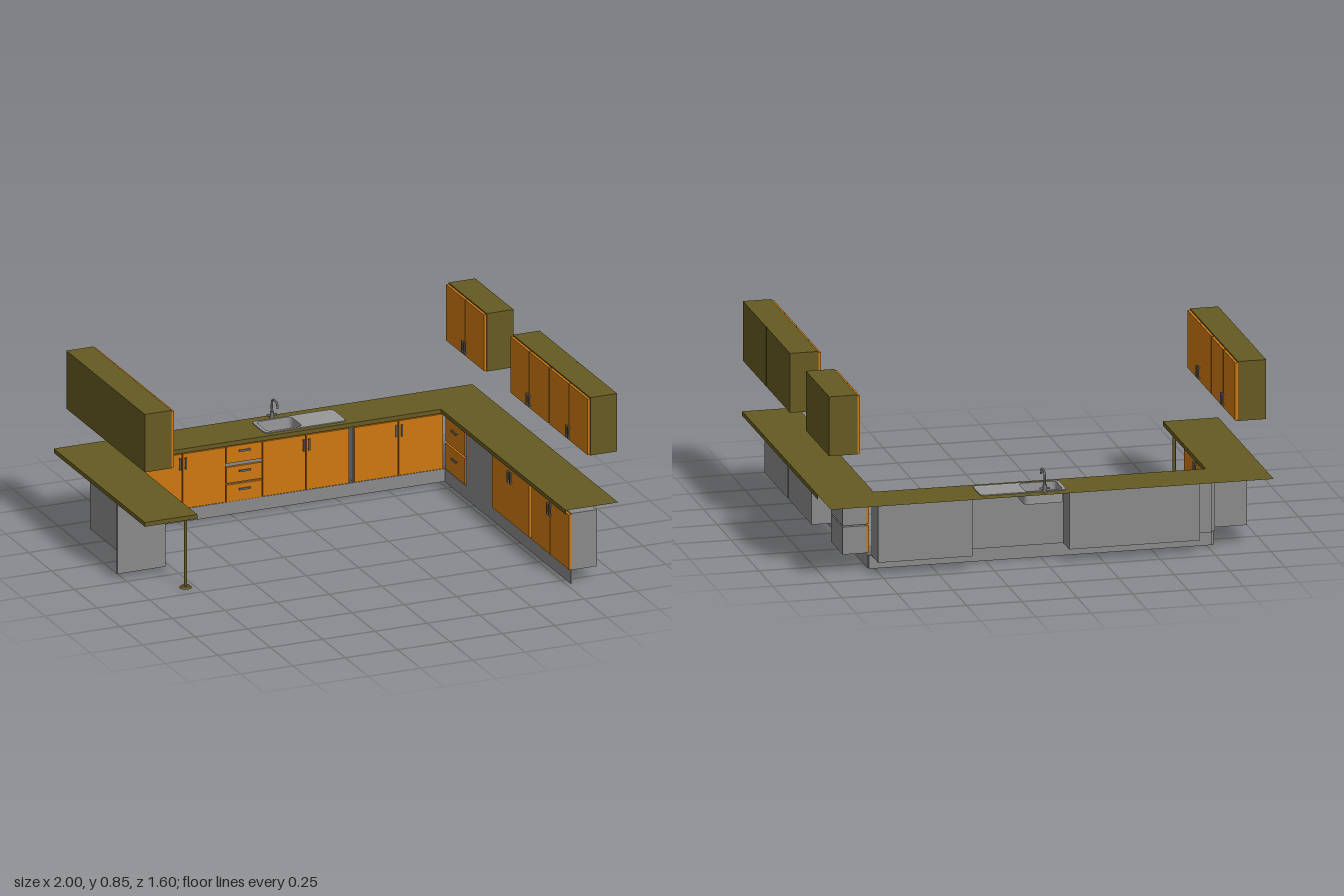
import * as THREE from 'three';

const mat = (name, color, side = THREE.FrontSide) => {
  const m = new THREE.MeshStandardMaterial({ color, side });
  m.name = name;
  return m;
};

export function createModel() {
  const olive = mat('olive', 0x655a22);
  const orange = mat('orange', 0xcd7710);
  const grey = mat('cabinet grey', 0x8a8a8a);
  const steel = mat('sink steel', 0x989898);
  const metal = mat('handle metal', 0x707070);

  const model = new THREE.Group();
  model.name = 'kitchen';

  const add = (parent, name, geo, material) => {
    const m = new THREE.Mesh(geo, material);
    m.name = name;
    parent.add(m);
    return m;
  };
  // Box given by its limits on each axis
  const box = (parent, name, material, x0, x1, y0, y1, z0, z1) => {
    const m = add(parent, name, new THREE.BoxGeometry(x1 - x0, y1 - y0, z1 - z0), material);
    m.position.set((x0 + x1) / 2, (y0 + y1) / 2, (z0 + z1) / 2);
    return m;
  };
  // A run of cabinets: local x goes along it, local +z is its front
  const run = (name, x, z, angle) => {
    const g = new THREE.Group();
    g.name = name;
    g.position.set(x, 0, z);
    g.rotation.y = angle;
    model.add(g);
    return g;
  };
  // Carcass with a pair of doors and upright handles beside the split
  const doorUnit = (r, u0, u1, y0, y1, depth, handleY, carcass) => {
    box(r, 'carcass', carcass, u0, u1, y0, y1 + 0.003, -depth, -0.012);
    const mid = (u0 + u1) / 2;
    box(r, 'door', orange, u0 + 0.002, mid - 0.002, y0 + 0.003, y1 - 0.003, -0.012, 0);
    box(r, 'door', orange, mid + 0.002, u1 - 0.002, y0 + 0.003, y1 - 0.003, -0.012, 0);
    for (const s of [-1, 1]) {
      const u = mid + s * 0.013;
      box(r, 'handle', metal, u - 0.004, u + 0.004, handleY - 0.027, handleY + 0.027, 0.006, 0.011);
      for (const e of [-0.022, 0.022])
        box(r, 'handlePost', metal, u - 0.003, u + 0.003, handleY + e - 0.003, handleY + e + 0.003, 0, 0.007);
    }
  };
  const drawer = (r, u0, u1, y0, y1) => {
    box(r, 'drawerFront', orange, u0 + 0.002, u1 - 0.002, y0 + 0.002, y1 - 0.002, -0.012, 0);
    const mid = (u0 + u1) / 2, y = (y0 + y1) / 2 + 0.015;
    box(r, 'drawerHandle', metal, mid - 0.027, mid + 0.027, y - 0.004, y + 0.004, 0.006, 0.011);
    for (const e of [-0.022, 0.022])
      box(r, 'handlePost', metal, mid + e - 0.003, mid + e + 0.003, y - 0.003, y + 0.003, 0, 0.007);
  };

  const Y0 = 0.06, Y1 = 0.322, HY = 0.275;

  // Back run
  const back = run('backBaseRun', 0, -0.575, 0);
  doorUnit(back, -0.69, -0.275, Y0, Y1, 0.13, HY, grey);
  box(back, 'drawerCarcass', grey, -0.275, -0.1, Y0, Y1, -0.13, -0.012);
  [[0.06, 0.143], [0.147, 0.226], [0.24, 0.322]].forEach(([a, b]) => drawer(back, -0.275, -0.1, a, b));
  doorUnit(back, -0.1, 0.315, Y0, Y1, 0.022, HY, grey); // shallow, leaves room for the sink
  doorUnit(back, 0.337, 0.763, Y0, Y1, 0.13, HY, grey);
  box(back, 'cornerFiller', grey, -0.77, -0.69, Y0, Y1, -0.02, -0.006);
  box(back, 'toeKick', grey, -0.775, 0.775, 0, Y0, -0.012, -0.004);

  // Left-hand leg, facing +x (local x = -z)
  const legA = run('shortLegBaseRun', -0.77, 0, Math.PI / 2);
  doorUnit(legA, 0.11, 0.52, Y0, Y1, 0.18, HY, grey);
  box(legA, 'cornerFiller', grey, 0.52, 0.575, Y0, Y1, -0.02, -0.006);
  box(legA, 'endPanel', grey, 0.1, 0.11, 0, 0.325, -0.23, 0);
  box(legA, 'toeKick', grey, 0.11, 0.58, 0, Y0, -0.012, -0.004);

  // Right-hand leg, facing -x (local x = z)
  const legB = run('longLegBaseRun', 0.767, 0, -Math.PI / 2);
  doorUnit(legB, 0.38, 0.795, Y0, Y1, 0.133, HY, grey);
  doorUnit(legB, -0.052, 0.36, Y0, Y1, 0.133, HY, grey);
  box(legB, 'appliancePanel', grey, -0.345, -0.055, Y0, Y1, -0.02, -0.004);
  for (const [a, b] of [[0.065, 0.19], [0.196, 0.32]]) {
    box(legB, 'drawerBox', grey, -0.56, -0.347, a, b, -0.12, -0.012);
    drawer(legB, -0.56, -0.347, a, b);
  }
  box(legB, 'toeKick', grey, -0.575, 0.8, 0, Y0, -0.012, -0.004);

  // Wall cabinets
  const upA = run('shortLegWallCabinets', -0.86, 0, Math.PI / 2);
  const upB = run('longLegWallCabinets', 0.86, 0, -Math.PI / 2);
  const wall = (r, a, b) => doorUnit(r, a, b, 0.58, 0.848, 0.14, 0.622, olive);
  wall(upA, -0.2, 0.224);
  wall(upA, 0.234, 0.663);
  wall(upB, -0.768, -0.348);
  wall(upB, -0.062, 0.357);
  wall(upB, 0.367, 0.788);
  box(upA, 'joiningStrip', olive, 0.224, 0.234, 0.58, 0.851, -0.14, -0.012);
  box(upB, 'joiningStrip', olive, 0.357, 0.367, 0.58, 0.851, -0.135, -0.012);

  // Rounded rectangle in plan, drawn with y = -z
  const rounded = (x0, x1, z0, z1, r, Type = THREE.Shape) => {
    const s = new Type(), a = -z1, b = -z0;
    s.moveTo(x0 + r, a);
    s.lineTo(x1 - r, a); s.quadraticCurveTo(x1, a, x1, a + r);
    s.lineTo(x1, b - r); s.quadraticCurveTo(x1, b, x1 - r, b);
    s.lineTo(x0 + r, b); s.quadraticCurveTo(x0, b, x0, b - r);
    s.lineTo(x0, a + r); s.quadraticCurveTo(x0, a, x0 + r, a);
    return s;
  };

  // U-shaped worktop: top, underside and the finished edges
  const worktop = new THREE.Group();
  worktop.name = 'worktop';
  model.add(worktop);
  const outline = [[-1, -0.8], [-1, 0.2], [-0.75, 0.2], [-0.75, -0.57], [0.75, -0.57], [0.75, 0.8], [1, 0.8], [1, -0.57], [1, -0.8]];
  const plan = new THREE.Shape(outline.map(([x, z]) => new THREE.Vector2(x, -z)));
  plan.holes.push(rounded(-0.068, 0.113, -0.745, -0.605, 0.025, THREE.Path));
  const planGeo = new THREE.ShapeGeometry(plan);
  const top = add(worktop, 'worktopTop', planGeo, olive);
  top.rotation.x = -Math.PI / 2;
  top.position.y = 0.345;
  const under = planGeo.clone();
  under.scale(1, -1, 1);
  under.setIndex(Array.from(planGeo.index.array).reverse());
  const lower = add(worktop, 'worktopUnderside', under.rotateX(Math.PI / 2), olive);
  lower.position.y = 0.325;
  lower.geometry.computeVertexNormals();
  for (const i of [0, 1, 2, 3, 4, 6]) {
    const [x0, z0] = outline[i], [x1, z1] = outline[i + 1];
    const edge = add(worktop, 'worktopEdge', new THREE.PlaneGeometry(Math.hypot(x1 - x0, z1 - z0), 0.02), olive);
    edge.position.set((x0 + x1) / 2, 0.335, (z0 + z1) / 2);
    edge.rotation.y = Math.atan2(z0 - z1, x1 - x0);
  }

  // Support leg under the free end
  const pole = add(model, 'supportLeg', new THREE.CylinderGeometry(0.007, 0.007, 0.325, 16), olive);
  pole.position.set(-0.793, 0.1625, 0.17);
  const foot = add(model, 'supportFoot', new THREE.CylinderGeometry(0.02, 0.028, 0.008, 24), olive);
  foot.position.set(-0.793, 0.004, 0.17);

  // Sink: rim with drainboard, bowl walls and bowl floor
  const sink = new THREE.Group();
  sink.name = 'sink';
  model.add(sink);
  const slab = (name, shape, y, depth) => {
    const m = add(sink, name, new THREE.ExtrudeGeometry(shape, { depth, bevelEnabled: false, curveSegments: 6 }), steel);
    m.rotation.x = -Math.PI / 2;
    m.position.y = y;
  };
  const rim = rounded(-0.078, 0.312, -0.752, -0.597, 0.025);
  const bowlHole = () => rounded(-0.062, 0.107, -0.739, -0.611, 0.025, THREE.Path);
  rim.holes.push(bowlHole());
  slab('sinkRim', rim, 0.345, 0.004);
  const bowl = rounded(-0.067, 0.112, -0.744, -0.606, 0.025);
  bowl.holes.push(bowlHole());
  slab('bowlWall', bowl, 0.292, 0.053);
  slab('bowlFloor', rounded(-0.067, 0.112, -0.744, -0.606, 0.025), 0.289, 0.004);
  const drain = add(sink, 'drain', new THREE.CylinderGeometry(0.013, 0.013, 0.003, 20), metal);
  drain.position.set(0.022, 0.294, -0.675);

  // Faucet
  const faucet = new THREE.Group();
  faucet.name = 'faucet';
  faucet.position.set(0.024, 0.345, -0.758);
  model.add(faucet);
  const base = add(faucet, 'faucetBase', new THREE.CylinderGeometry(0.009, 0.01, 0.035, 16), metal);
  base.position.y = 0.0175;
  const path = new THREE.CatmullRomCurve3([[0.03, 0], [0.07, 0], [0.088, 0.006], [0.095, 0.02], [0.095, 0.042],
    [0.089, 0.056], [0.068, 0.063]].map(([y, z]) => new THREE.Vector3(0, y, z)));
  add(faucet, 'spout', new THREE.TubeGeometry(path, 32, 0.005, 10), metal);
  const lever = add(faucet, 'lever', new THREE.CylinderGeometry(0.005, 0.005, 0.046, 12), metal);
  lever.rotation.z = Math.PI / 2;
  lever.position.y = 0.018;

  return model;
}
